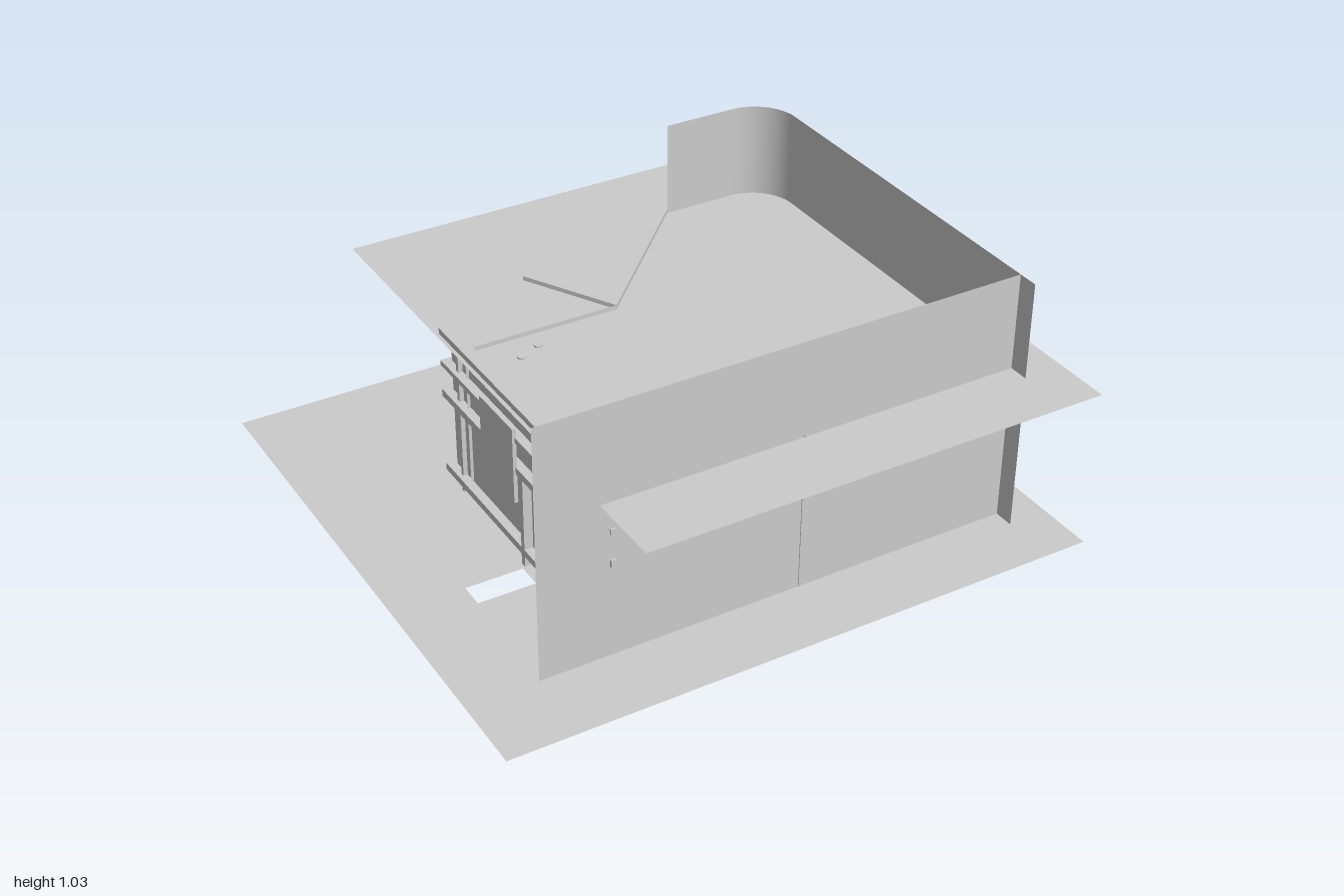
import * as THREE from 'three';

const FLOOR = 0.17, CEILING = 0.71;
const mat = new THREE.MeshStandardMaterial({ color: 0xcccccc, side: THREE.DoubleSide });

export function createModel() {
  const model = new THREE.Group();

  const add = (name, geometry) => {
    const mesh = new THREE.Mesh(geometry, mat);
    mesh.name = name;
    model.add(mesh);
    return mesh;
  };

  // box given by its limits on each axis
  const box = (name, x0, x1, y0, y1, z0, z1) =>
    add(name, new THREE.BoxGeometry(x1 - x0, y1 - y0, z1 - z0))
      .position.set((x0 + x1) / 2, (y0 + y1) / 2, (z0 + z1) / 2);

  // thin upright sheet following a plan path of [x, z] points
  const wall = (name, path, y0, y1) => {
    const pos = [], index = [];
    path.forEach(([x, z], i) => {
      pos.push(x, y0, z, x, y1, z);
      if (i) {
        const a = 2 * i - 2;
        index.push(a, a + 1, a + 2, a + 1, a + 3, a + 2);
      }
    });
    const g = new THREE.BufferGeometry();
    g.setAttribute('position', new THREE.Float32BufferAttribute(pos, 3));
    g.setIndex(index);
    g.computeVertexNormals();
    return add(name, g);
  };

  // horizontal sheet with optional rectangular hole
  const rect = (T, x0, x1, z0, z1) => new T([
    new THREE.Vector2(x0, -z0), new THREE.Vector2(x0, -z1),
    new THREE.Vector2(x1, -z1), new THREE.Vector2(x1, -z0)]);
  const slab = (name, y, x0, x1, hole) => {
    const shape = rect(THREE.Shape, x0, x1, -0.962, 0.962);
    if (hole) shape.holes.push(rect(THREE.Path, ...hole));
    const mesh = add(name, new THREE.ShapeGeometry(shape));
    mesh.rotation.x = -Math.PI / 2;
    mesh.position.y = y;
  };
  slab('floor', FLOOR, -1, 1, [-0.755, -0.56, 0.215, 0.30]);
  slab('ceiling', CEILING, -0.56, 1);

  // tall outer walls: flat front, and a right wall rounding into the back
  wall('frontWall', [[-0.765, 0.708], [0.86, 0.708]], 0, 1.035);
  const r = 0.15, path = [[0.86, 0.776], [0.86, 0.2]];
  for (let i = 0; i <= 16; i++) {
    const a = (i / 16) * Math.PI / 2;
    path.push([0.86 - r + r * Math.cos(a), -0.657 + r - r * Math.sin(a)]);
  }
  path.push([0.46, -0.657]);
  wall('curvedSideWall', path, 0, 1.035);

  // lower inner walls, just piercing floor and ceiling
  wall('diagonalWall', [[0.46, -0.657], [0, -0.19]], 0.13, 0.725);
  wall('recessedBackWall', [[0, -0.19], [-0.53, -0.19]], 0.13, 0.725);
  wall('windowWall', [[-0.52, -0.31], [-0.52, 0.708]], 0.13, 0.725);
  wall('doorLeaf', [[0, -0.19], [-0.17, -0.5]], FLOOR, 0.725);
  wall('diagonalDoor', [[0.19, -0.395], [0.025, -0.228]], FLOOR, 0.6);

  // horizontal rails along the window wall and recessed wall
  for (const [y, h] of [[0.725, 0.02], [0.61, 0.018], [0.5, 0.025], [0.22, 0.025]]) {
    const through = y > 0.4 && y < 0.7 ? 0.715 : 0.7;
    box('sideRail', -0.55, -0.51, y - h / 2, y + h / 2, -0.33, 0.69);
    if (through > 0.7) box('railEnd', -0.53, -0.512, y - h / 2, y + h / 2, 0.68, through);
    if (y < 0.7) box('backRail', -0.51, -0.02, y - h / 2, y + h / 2, -0.205, -0.185);
  }

  // shutter, side door frame and front joint
  box('shutter', -0.558, -0.545, 0.385, 0.65, -0.045, 0.17);
  box('sideDoorPost', -0.55, -0.52, FLOOR, 0.5, 0.19, 0.21);
  box('cornerPost', -0.535, -0.515, 0.13, 0.725, -0.25, -0.235);
  box('frontJoint', 0.114, 0.12, FLOOR, 0.72, 0.70, 0.711);

  // small ceiling fittings
  for (const [x, z] of [[-0.39, -0.085], [-0.315, -0.12]])
    add('ceilingFitting', new THREE.CylinderGeometry(0.014, 0.014, 0.012, 16)).position.set(x, CEILING, z);

  return model;
}
